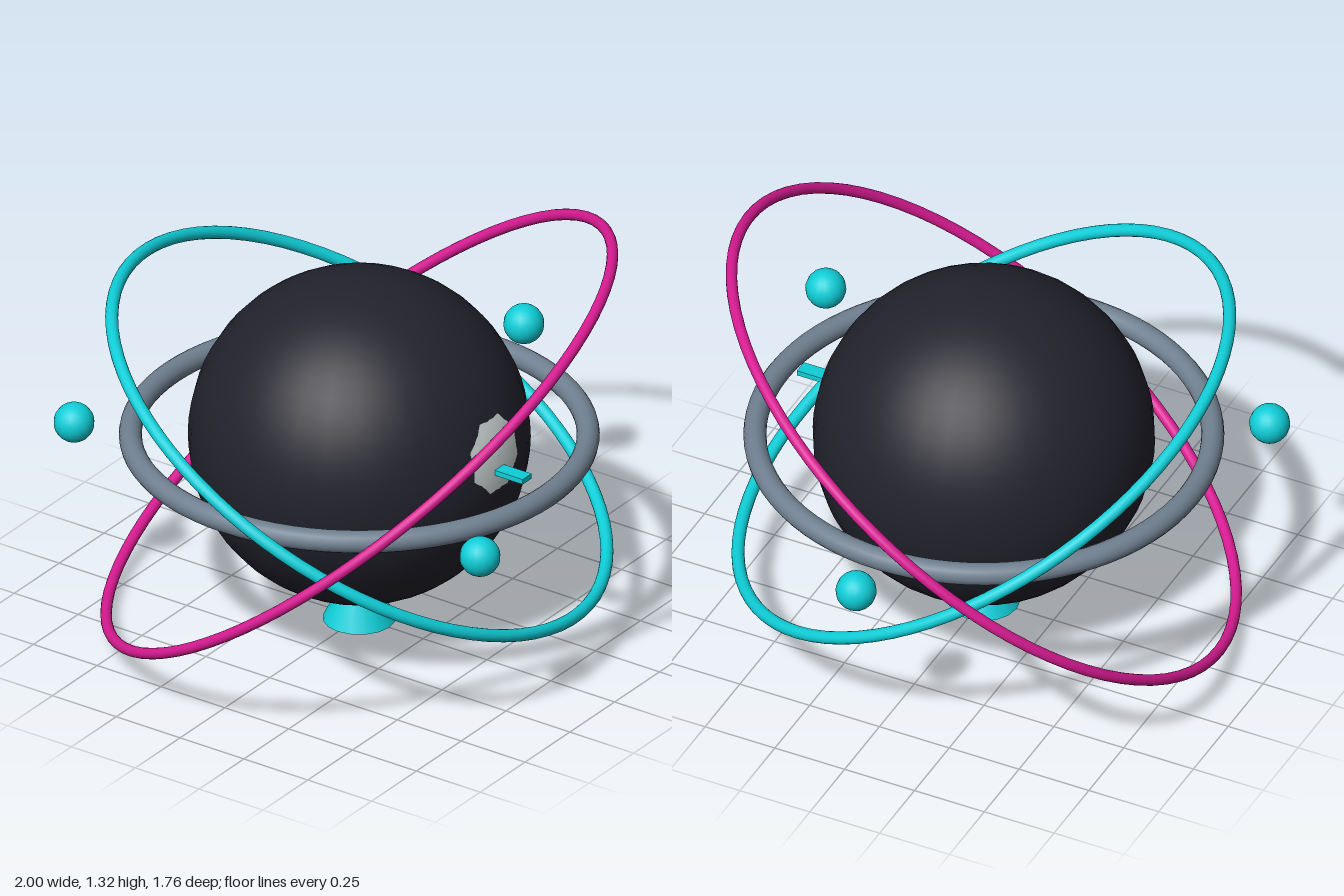
import * as THREE from 'three';

const CENTER_Y = 0.667;
const GLOBE_R = 0.55;

function material(name, color) {
  const m = new THREE.MeshStandardMaterial({ color });
  m.name = name;
  return m;
}

export function createModel() {
  const model = new THREE.Group();
  model.name = 'ringedGlobe';

  const dark = material('nearBlack', 0x22222d);
  const grey = material('slateGrey', 0x708090);
  const cyan = material('turquoise', 0x0fced8);
  const magenta = material('magenta', 0xd81b92);
  const pale = material('paleGrey', 0xd8e2e2);

  const add = (name, geometry, mat, x = 0, y = CENTER_Y, z = 0) => {
    const mesh = new THREE.Mesh(geometry, mat);
    mesh.name = name;
    mesh.position.set(x, y, z);
    model.add(mesh);
    return mesh;
  };

  // Globe
  add('globe', new THREE.SphereGeometry(GLOBE_R, 32, 32), dark);

  // Rings, each turned so its axis follows the given direction
  const ring = (name, radius, tube, axis, mat) => {
    const mesh = add(name, new THREE.TorusGeometry(radius, tube, 16, 80), mat);
    mesh.quaternion.setFromUnitVectors(
      new THREE.Vector3(0, 0, 1), new THREE.Vector3(...axis).normalize());
  };
  ring('equatorRing', 0.734, 0.037, [0, 1, 0], grey);
  ring('innerOrbitRing', 0.916, 0.021, [0.199, 0.86, 0.47], cyan);
  ring('outerOrbitRing', 1.026, 0.0184, [-0.296, 0.788, -0.539], magenta);

  // Three satellites around the equator
  for (let i = 0; i < 3; i++) {
    const a = (i * Math.PI * 2) / 3;
    add('satellite' + (i + 1), new THREE.SphereGeometry(0.066, 16, 16), cyan,
      0.918 * Math.cos(a), CENTER_Y, 0.918 * Math.sin(a));
  }

  // Pale patch with a ragged rim, laid on the front of the globe
  const patch = new THREE.RingGeometry(0.001, 0.122, 48, 5);
  const p = patch.attributes.position;
  for (let i = 0; i < p.count; i++) {
    const a = Math.atan2(p.getY(i), p.getX(i));
    const k = 1 + 0.05 * Math.cos(8 * a + Math.PI) + 0.02 * Math.cos(16 * a);
    const x = p.getX(i) * k;
    const y = p.getY(i) * k + 0.09;
    p.setXYZ(i, x, y, Math.sqrt((GLOBE_R + 0.001) ** 2 - x * x - y * y));
  }
  patch.computeVertexNormals();
  add('facePatch', patch, pale);

  // Small flat pointer below the patch
  add('pointer', new THREE.BoxGeometry(0.05, 0.018, 0.157), cyan, 0, 0.705, 0.579);

  // Flared foot
  add('foot', new THREE.CylinderGeometry(0.045, 0.118, 0.15, 16), cyan, 0, 0.075, 0);

  return model;
}
